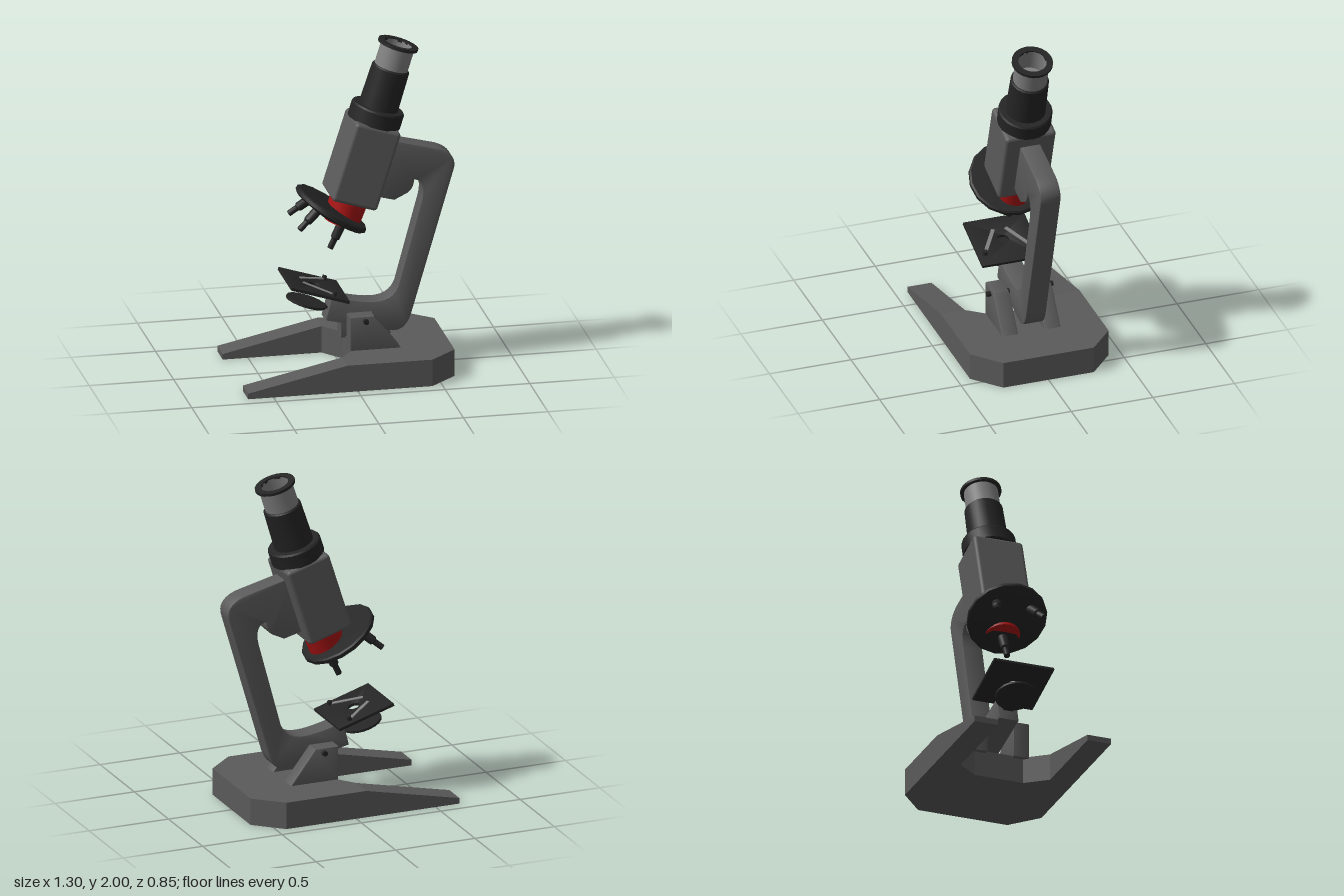
import * as THREE from 'three';
import { toCreasedNormals } from 'three/addons/utils/BufferGeometryUtils.js';
import { RoundedBoxGeometry } from 'three/addons/geometries/RoundedBoxGeometry.js';

const paint = (color) => new THREE.MeshStandardMaterial({ color });
const grey = paint(0x5a5a5a);
const black = paint(0x252525);
const red = paint(0xaa1414);
const steel = paint(0x808080);
const TILT = THREE.MathUtils.degToRad(17.5);

function add(parent, name, geometry, material, x = 0, y = 0, z = 0) {
  const mesh = new THREE.Mesh(geometry, material);
  mesh.name = name;
  mesh.position.set(x, y, z);
  parent.add(mesh);
  return mesh;
}

function tilted(parent, name, x, y, z, angle) {
  const group = new THREE.Group();
  group.name = name;
  group.position.set(x, y, z);
  group.rotation.z = -angle;
  parent.add(group);
  return group;
}

const polygon = (points) => new THREE.Shape(points.map(([x, y]) => new THREE.Vector2(x, y)));

// Turned part; the profile lists [radius, height] from the bottom up the outside
const turned = (profile, sides = 24) => toCreasedNormals(
  new THREE.LatheGeometry(profile.map(([r, y]) => new THREE.Vector2(r, y)), sides), 0.5);

// Slab centred on z = 0 with a small bevel kept inside the outline
function slab(shape, depth, bevel = 0.008) {
  const geometry = new THREE.ExtrudeGeometry(shape, {
    depth: depth - 2 * bevel, bevelEnabled: bevel > 0, bevelSize: bevel,
    bevelThickness: bevel, bevelOffset: -bevel, bevelSegments: 2, curveSegments: 10,
  });
  geometry.translate(0, 0, -depth / 2 + bevel);
  return toCreasedNormals(geometry, 0.6);
}

function buildBase(model) {
  // Chamfered rear plate with a notch between the legs
  const half = [[-0.064, 0.425], [0.44, 0.425], [0.603, 0.278]];
  const notch = [[0.035, 0.15], [-0.064, 0.278]];
  const mirror = (list) => list.map(([x, z]) => [x, -z]).reverse();
  const plate = polygon([...half, ...mirror(half), ...mirror(notch), ...notch]);
  const geometry = slab(plate, 0.162, 0);
  geometry.rotateX(-Math.PI / 2);
  add(model, 'basePlate', geometry, grey, 0, 0.081, 0);

  const leg = polygon([[-0.65, 0], [-0.064, 0], [-0.064, 0.162], [-0.65, 0.034]]);
  const bracket = polygon([[0.005, 0.15], [0.315, 0.15], [0.15, 0.365], [0.005, 0.365]]);
  for (const side of [-1, 1]) {
    add(model, 'baseLeg', slab(leg, 0.147, 0), grey, 0, 0, side * 0.3515);
    add(model, 'pivotBracket', slab(bracket, 0.098), grey, 0, 0, side * 0.13);
  }
  const pin = new THREE.CylinderGeometry(0.016, 0.016, 0.405, 12);
  add(model, 'pivotPin', pin, black, 0.098, 0.338, 0).rotation.x = Math.PI / 2;
}

function buildArm(model) {
  const s = new THREE.Shape();
  s.moveTo(0.24, 1.402);
  s.lineTo(0.537, 1.328);
  s.bezierCurveTo(0.61, 1.31, 0.67, 1.26, 0.643, 1.185);
  s.lineTo(0.394, 0.328);
  s.bezierCurveTo(0.37, 0.25, 0.33, 0.215, 0.262, 0.23);
  s.lineTo(-0.114, 0.317);
  s.lineTo(-0.077, 0.46);
  s.lineTo(0.03, 0.434);
  s.bezierCurveTo(0.16, 0.405, 0.27, 0.39, 0.315, 0.497);
  s.lineTo(0.455, 1.016);
  s.bezierCurveTo(0.475, 1.1, 0.45, 1.143, 0.41, 1.143);
  s.quadraticCurveTo(0.41, 1.09, 0.368, 1.063);
  s.lineTo(0.294, 1.027);
  s.lineTo(0.14, 1.067);
  s.closePath();
  add(model, 'arm', slab(s, 0.125), grey, 0, 0, 0.003);
}

function buildTube(model) {
  // Local y runs up the optical axis from the bottom of the housing
  const tube = tilted(model, 'opticalTube', 0.037, 1.037, 0.003, TILT);
  add(tube, 'housing', new RoundedBoxGeometry(0.28, 0.49, 0.308, 3, 0.022), grey, 0, 0.245, 0);
  add(tube, 'collar', turned([[0, 0.485], [0.158, 0.485], [0.158, 0.57], [0.15, 0.58], [0, 0.58]]), black);
  add(tube, 'drawTube', turned([[0, 0.57], [0.117, 0.57], [0.112, 0.82], [0.105, 0.828], [0, 0.828]]), black);
  add(tube, 'eyepiece', turned([[0.1, 0.82], [0.1, 0.965], [0.083, 0.97], [0.083, 0.84], [0, 0.84]]), steel);
  add(tube, 'eyepieceRim',
    turned([[0.083, 0.96], [0.12, 0.96], [0.12, 0.977], [0.083, 0.977], [0.083, 0.96]]), black);
  add(tube, 'nose', turned([[0, -0.15], [0.104, -0.15], [0.115, 0.02], [0, 0.02]]), red);
}

function buildNosepiece(model) {
  const turret = tilted(model, 'nosepiece', -0.071, 0.98, 0.006, THREE.MathUtils.degToRad(33.5));
  add(turret, 'turretDisc', turned([
    [0, -0.05], [0.1, -0.046], [0.222, -0.02], [0.238, -0.01], [0.238, 0.012], [0.228, 0.02], [0, 0.025],
  ], 16), black);

  // Objectives lean outward: [azimuth, radius, lean, length]
  const lenses = [[0, 0.1, 8, 0.205], [135, 0.135, 23, 0.185], [-135, 0.135, 23, 0.185]];
  for (const [azimuth, radius, lean, length] of lenses) {
    const arm = new THREE.Group();
    arm.name = 'objectiveMount';
    arm.rotation.y = THREE.MathUtils.degToRad(azimuth);
    turret.add(arm);
    const profile = [[0, -length], [0.018, -length], [0.018, -length + 0.06], [0.027, -length + 0.07],
      [0.029, -0.01], [0, -0.01]];
    const lens = add(arm, 'objective', turned(profile, 14), black, radius, 0, 0);
    lens.rotation.z = THREE.MathUtils.degToRad(lean);
  }
}

function buildStage(model) {
  const stage = tilted(model, 'stage', -0.172, 0.518, 0.006, TILT);
  const outline = polygon([[-0.18, -0.187], [0.18, -0.187], [0.18, 0.187], [-0.18, 0.187]]);
  outline.holes.push(new THREE.Path().absarc(0, 0, 0.035, 0, Math.PI * 2, true));
  const plate = slab(outline, 0.018, 0.002);
  plate.rotateX(-Math.PI / 2);
  add(stage, 'stagePlate', plate, black);
  add(stage, 'stageMount', new THREE.BoxGeometry(0.06, 0.04, 0.1), black, 0.13, -0.022, 0);

  // Slide clips, angled inward from their screws
  for (const side of [-1, 1]) {
    const clip = add(stage, 'slideClip', new THREE.BoxGeometry(0.2, 0.005, 0.022), steel, 0.005, 0.016, side * 0.09);
    clip.rotation.y = -side * 0.55;
    add(stage, 'clipScrew', new THREE.CylinderGeometry(0.014, 0.014, 0.03, 12), black, 0.09, 0.018, side * 0.142);
  }

  // Diaphragm disc beneath the stage, held by a short tab on the arm
  const lower = tilted(model, 'diaphragm', -0.217, 0.423, 0.003, TILT);
  add(lower, 'diaphragmDisc', new THREE.CylinderGeometry(0.12, 0.12, 0.014, 20), black);
  add(lower, 'diaphragmTab', new THREE.BoxGeometry(0.1, 0.012, 0.06), black, 0.11, 0, 0);
}

export function createModel() {
  const model = new THREE.Group();
  model.name = 'microscope';
  buildBase(model);
  buildArm(model);
  buildTube(model);
  buildNosepiece(model);
  buildStage(model);
  return model;
}
